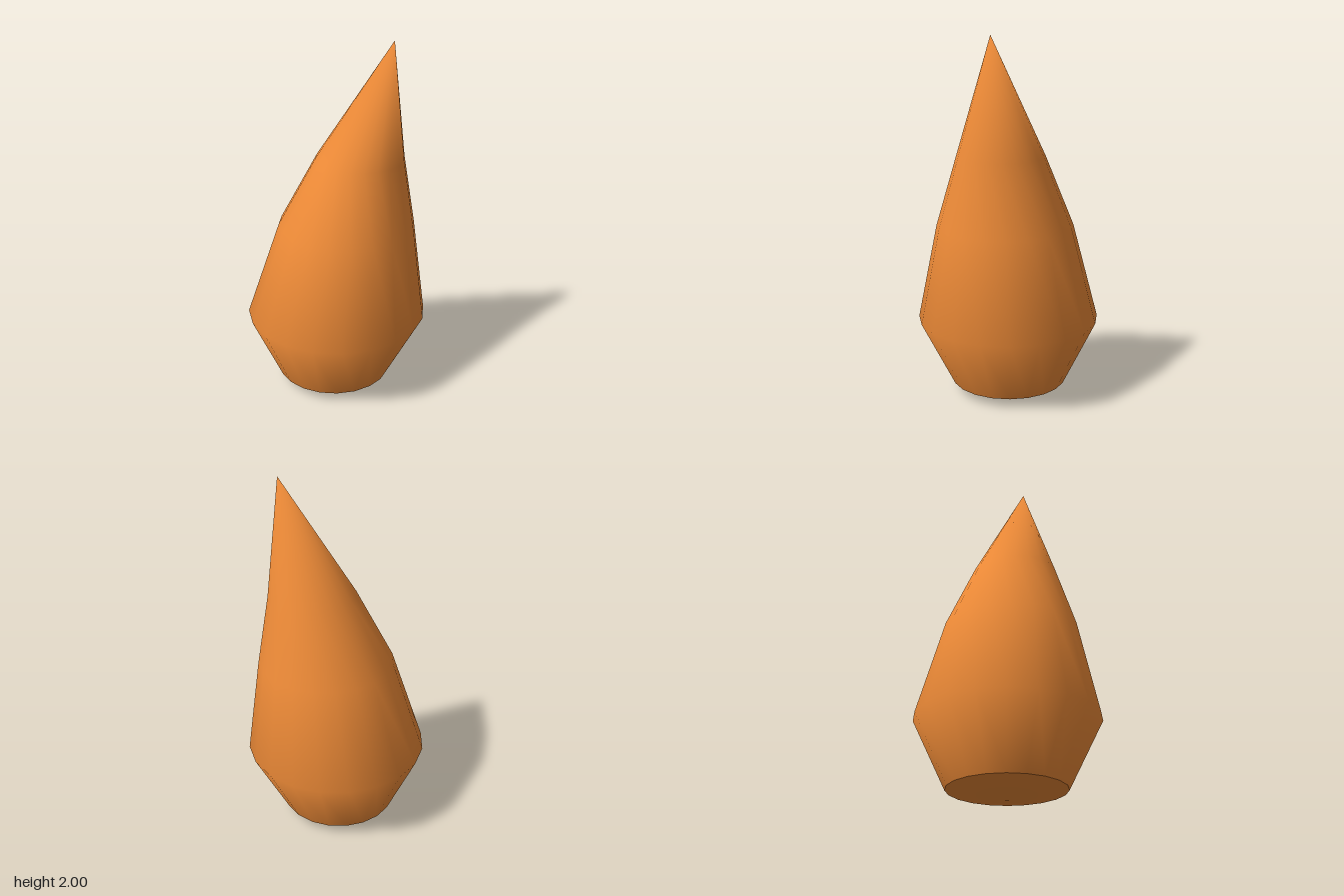
import * as THREE from 'three';
import { mergeVertices } from 'three/addons/utils/BufferGeometryUtils.js';

const SIDES = 20;

// Rings are [radius, y, centre x]; each lathe ring is slid sideways to its centre.
function leaningLathe(rings) {
  const profile = rings.map(([r, y]) => new THREE.Vector2(r, y));
  let geo = new THREE.LatheGeometry(profile, SIDES);
  const pos = geo.attributes.position;
  for (let i = 0; i < pos.count; i++) {
    pos.setX(i, pos.getX(i) + rings[i % rings.length][2]);
  }
  // Weld the seam and the poles so the shading is smooth all round
  geo.deleteAttribute('uv');
  geo.deleteAttribute('normal');
  geo = mergeVertices(geo, 1e-4);
  geo.computeVertexNormals();
  return geo;
}

export function createModel() {
  const group = new THREE.Group();
  group.name = 'flame';
  const orange = new THREE.MeshStandardMaterial({ color: 0xf08c38 });

  const add = (name, rings) => {
    const mesh = new THREE.Mesh(leaningLathe(rings), orange);
    mesh.name = name;
    group.add(mesh);
  };

  const rim = [0.318, 0.055, -0.015];

  // Tapering body, bending towards +x up to the tip
  add('flameBody', [
    rim,
    [0.5, 0.43, 0],
    [0.373, 0.97, 0.057],
    [0.238, 1.36, 0.13],
    [0, 2, 0.302],
  ]);

  // Shallow cone closing the bottom
  add('flameBase', [[0, 0, -0.015], rim]);

  return group;
}
